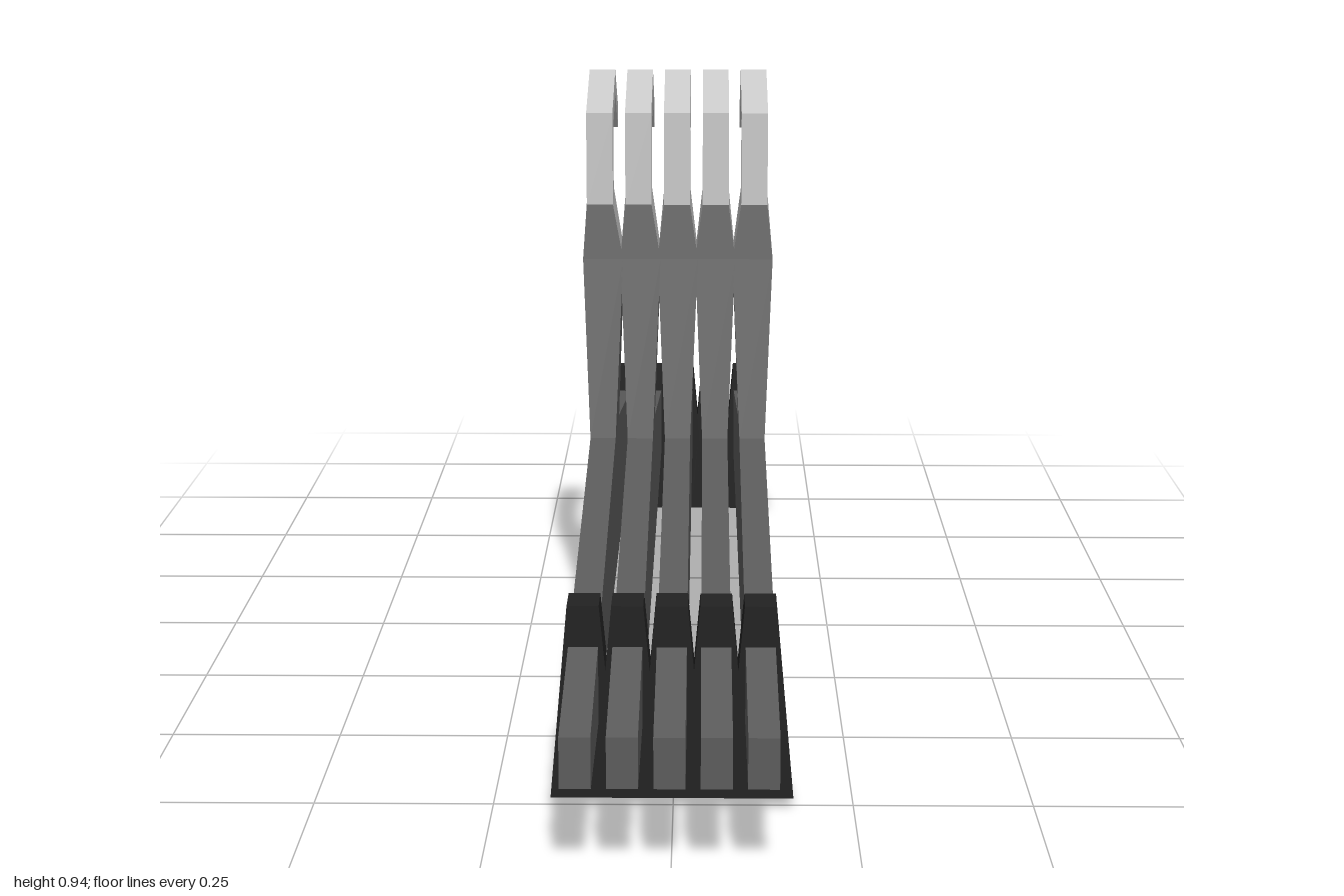
import * as THREE from 'three';

const plastic = new THREE.MeshStandardMaterial({ color: 0x5c5c5c });
plastic.name = 'dark grey plastic';
const metal = new THREE.MeshStandardMaterial({ color: 0xc8c8c8 });
metal.name = 'pale metal';
const clipBlack = new THREE.MeshStandardMaterial({ color: 0x222222 });
clipBlack.name = 'black clip';

const THIN = 0.0205, WIDE = 0.0325;
const COUNT = 5, SPACING = 0.0605;

// Side profile [z, y] extruded across x; halfWidth(y, z) gives the thickness there
function slab(name, profile, halfWidth, material) {
  const shape = new THREE.Shape(profile.map(([z, y]) => new THREE.Vector2(z, y)));
  const geometry = new THREE.ExtrudeGeometry(shape, { depth: 2, bevelEnabled: false });
  geometry.translate(0, 0, -1).rotateY(-Math.PI / 2);
  const p = geometry.attributes.position;
  for (let i = 0; i < p.count; i++) {
    p.setX(i, Math.sign(p.getX(i)) * halfWidth(p.getY(i), p.getZ(i)));
  }
  geometry.computeVertexNormals();
  const mesh = new THREE.Mesh(geometry, material);
  mesh.name = name;
  return mesh;
}

// Flared clip that is narrow on top and wide at the bottom
function clip(name, z, bottom) {
  const top = bottom + 0.28;
  const profile = [[z - 0.03, bottom], [z + 0.026, bottom], [z + 0.03, top], [z - 0.026, top]];
  return slab(name, profile, y => THREE.MathUtils.mapLinear(y, bottom, top, 0.047, 0.0218), clipBlack);
}

function createHanger() {
  const hanger = new THREE.Group();

  // Shoulder bar, sitting very slightly tilted
  hanger.add(slab('shoulderBar', [
    [1, 0.13], [1, 0.2], [0.08, 0.347], [-0.08, 0.345], [-1, 0.182], [-1, 0.115],
  ], () => THIN, plastic));

  // Neck widening upwards
  hanger.add(slab('neck', [
    [0.08, 0.347], [0.03, 0.634], [-0.036, 0.634], [-0.08, 0.345],
  ], y => (y > 0.5 ? WIDE : THIN), plastic));

  // Flared root of the hook, then its angular bend
  hanger.add(slab('hookRoot', [
    [0.03, 0.634], [0.137, 0.741], [0.098, 0.763], [-0.036, 0.634],
  ], y => (y > 0.7 ? THIN : WIDE), metal));
  hanger.add(slab('hook', [
    [0.137, 0.741], [0.137, 0.885], [0.005, 0.938], [-0.106, 0.869],
    [-0.092, 0.832], [0.005, 0.9], [0.098, 0.861], [0.098, 0.763],
  ], () => THIN, metal));

  hanger.add(clip('frontClip', 0.738, 0.016));
  hanger.add(clip('backClip', -0.714, 0));
  return hanger;
}

export function createModel() {
  const model = new THREE.Group();
  model.name = 'hangerSet';
  for (let i = 0; i < COUNT; i++) {
    const hanger = createHanger();
    hanger.name = `hanger${i + 1}`;
    hanger.position.x = (i - (COUNT - 1) / 2) * SPACING - 0.0015;
    model.add(hanger);
  }
  return model;
}
